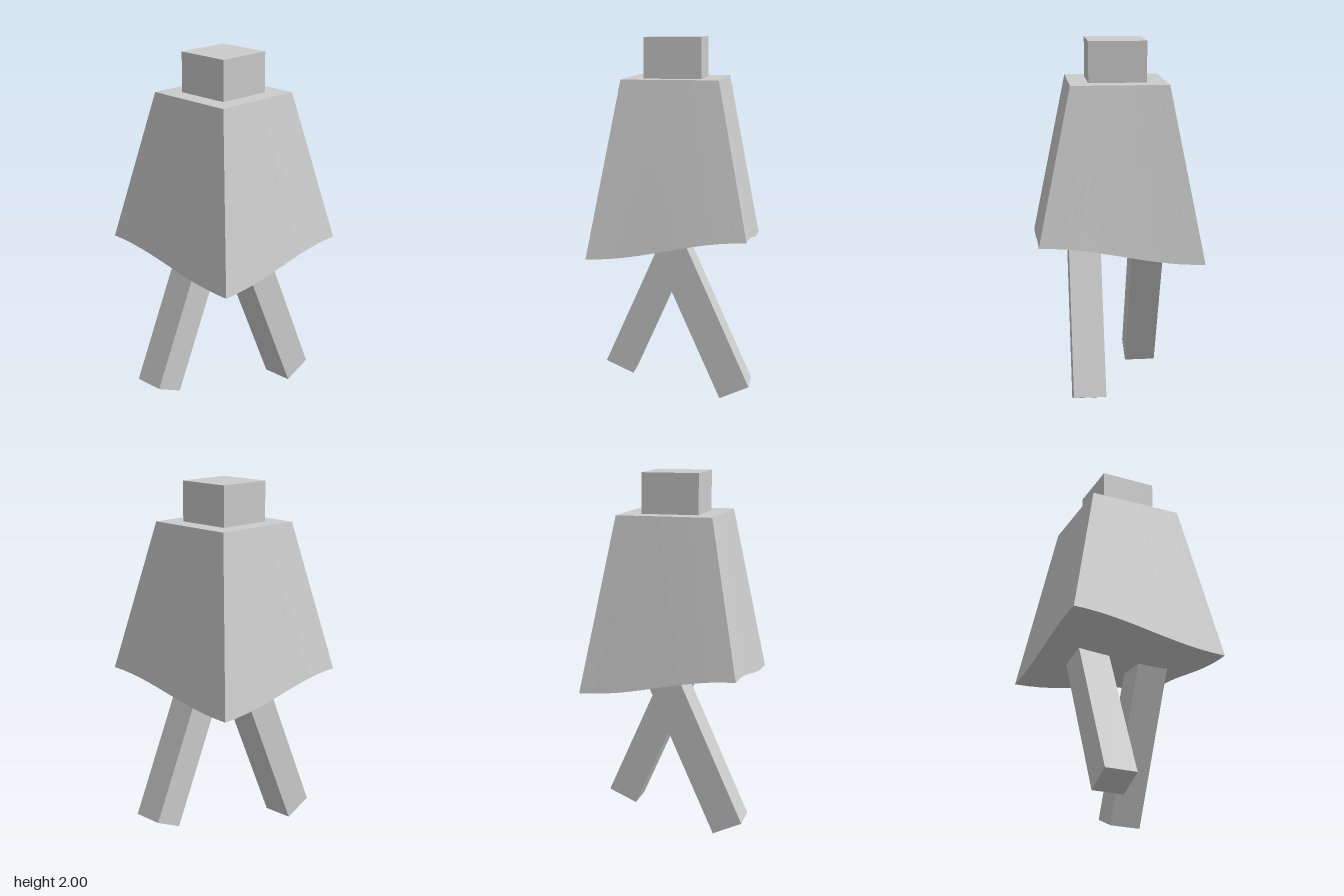
import * as THREE from 'three';

const material = new THREE.MeshStandardMaterial({ color: 0xcccccc });

function box(name, w, h, d) {
  const mesh = new THREE.Mesh(new THREE.BoxGeometry(w, h, d), material);
  mesh.name = name;
  return mesh;
}

// Tapered cloak whose hem rises and falls like a saddle, with a sagging underside
function cloakGeometry() {
  const geometry = new THREE.BoxGeometry(2, 2, 2, 12, 1, 12);
  const pos = geometry.attributes.position;
  const wave = (t) => Math.sin((t * Math.PI) / 2);
  for (let i = 0; i < pos.count; i++) {
    const u = pos.getX(i);
    const v = pos.getZ(i);
    if (pos.getY(i) > 0) {
      pos.setXYZ(i, 0.267 * u - 0.004 * v, 1.775, 0.268 * v - 0.002);
    } else {
      const sag = 0.033 * (1 - u * u) * (1 - v * v);
      pos.setXYZ(i, 0.436 * u, 0.874 + 0.057 * wave(u) * wave(v) - sag, 0.451 * v);
    }
  }
  geometry.computeVertexNormals();
  return geometry;
}

export function createModel() {
  const model = new THREE.Group();
  model.name = 'cloakedWalker';

  const head = box('head', 0.32, 0.32, 0.32);
  head.position.set(-0.003, 1.84, 0);
  model.add(head);

  const cloak = new THREE.Mesh(cloakGeometry(), material);
  cloak.name = 'cloak';
  model.add(cloak);

  // Legs stride sideways, one in front of the other
  const angle = THREE.MathUtils.degToRad(24);
  const length = 0.98;
  for (const side of [1, -1]) {
    const leg = box(side > 0 ? 'leftLeg' : 'rightLeg', 0.178, length, 0.18);
    leg.rotation.z = side * angle;
    leg.position.set(
      side * (0.36 - (Math.sin(angle) * length) / 2),
      0.037 + (Math.cos(angle) * length) / 2,
      side * 0.181
    );
    model.add(leg);
  }
  return model;
}
